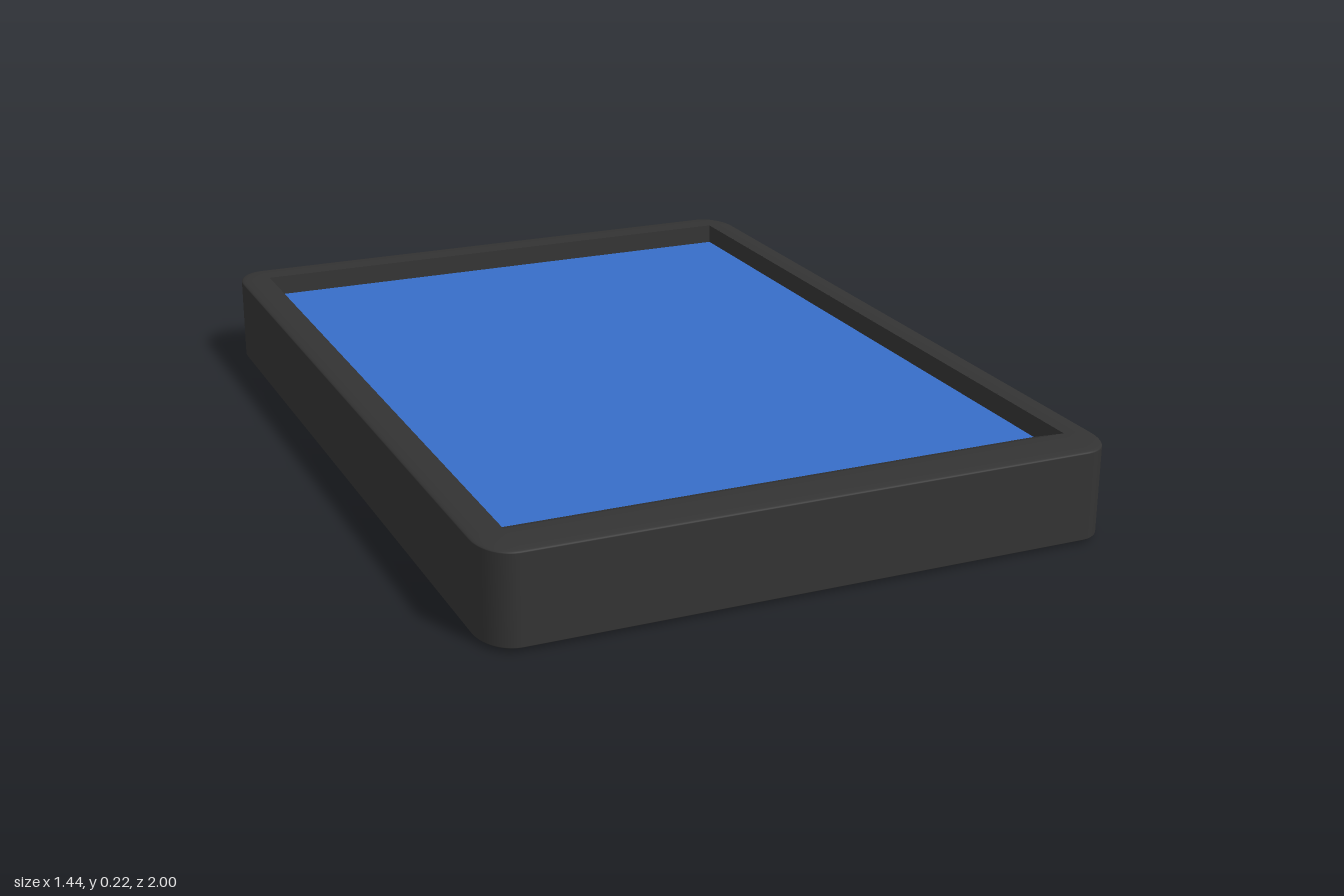
import * as THREE from 'three';
import { RoundedBoxGeometry } from 'three/addons/geometries/RoundedBoxGeometry.js';

const W = 1.44, H = 0.222, D = 2;         // outer size
const HX = 0.65, BACK = -0.902, FRONT = 0.9; // recess opening
const FLOOR = 0.172, FLOOR_FRONT = 0.785;  // recess floor

const caseMaterial = new THREE.MeshStandardMaterial({ color: 0x333333 });
const screenMaterial = new THREE.MeshStandardMaterial({ color: 0x376dc8 });

// Rounded shell with the flat middle of its top left open
function shellGeometry() {
  const src = new RoundedBoxGeometry(1, 1, 1, 6, 0.05);
  const p = src.attributes.position, n = src.attributes.normal;
  const pos = [], nor = [];
  for (let i = 0; i < p.count; i += 3) {
    const ids = [i, i + 1, i + 2];
    if (ids.every((k) => p.getY(k) > 0.49999)) continue;
    for (const k of ids) {
      pos.push(p.getX(k), p.getY(k), p.getZ(k));
      nor.push(n.getX(k), n.getY(k), n.getZ(k));
    }
  }
  const g = new THREE.BufferGeometry();
  g.setAttribute('position', new THREE.Float32BufferAttribute(pos, 3));
  g.setAttribute('normal', new THREE.Float32BufferAttribute(nor, 3));
  return g.scale(W, H, D).translate(0, H / 2, 0);
}

// Flat quads, corners counter-clockwise as seen from their front
function quads(list) {
  const pos = list.flatMap(([a, b, c, d]) => [a, b, c, a, c, d].flat());
  const g = new THREE.BufferGeometry();
  g.setAttribute('position', new THREE.Float32BufferAttribute(pos, 3));
  g.computeVertexNormals();
  return g;
}

export function createModel() {
  const group = new THREE.Group();
  group.name = 'framedPanel';
  const add = (name, geometry, material) => {
    const mesh = new THREE.Mesh(geometry, material);
    mesh.name = name;
    group.add(mesh);
  };

  add('case', shellGeometry(), caseMaterial);

  // Recess: upright back and side walls, sloped front wall
  const top = [[-HX, H, BACK], [HX, H, BACK], [HX, H, FRONT], [-HX, H, FRONT]];
  const low = [[-HX, FLOOR, BACK], [HX, FLOOR, BACK], [HX, FLOOR, FLOOR_FRONT], [-HX, FLOOR, FLOOR_FRONT]];
  const walls = top.map((t, i) => {
    const j = (i + 1) % 4;
    return [low[i], low[j], top[j], t];
  });
  add('recessWalls', quads(walls), caseMaterial);

  // Screen on the recess floor
  add('screen', quads([[low[3], low[2], low[1], low[0]]]), screenMaterial);
  return group;
}
